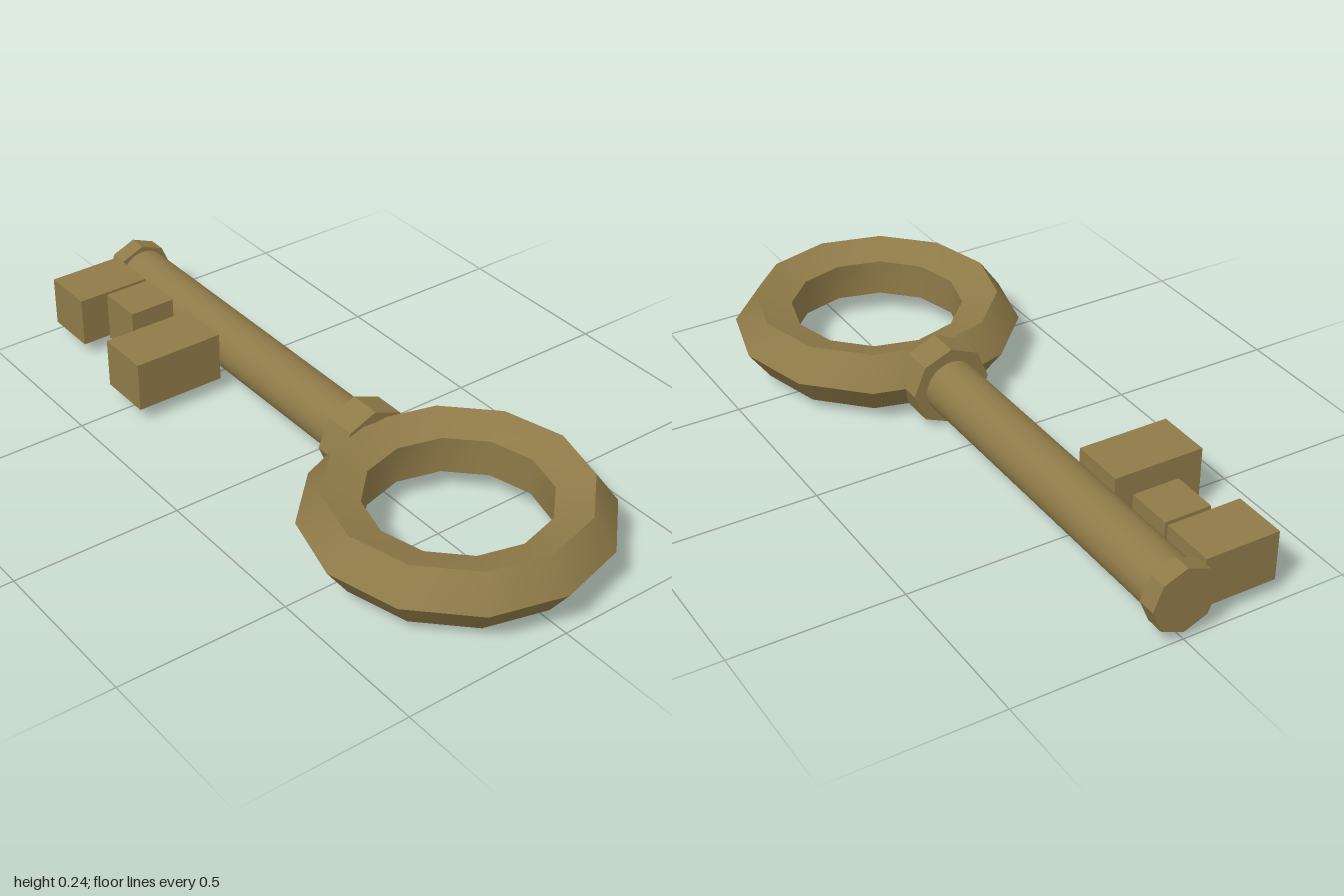
import * as THREE from 'three';
import { toCreasedNormals } from 'three/addons/utils/BufferGeometryUtils.js';

const AXIS_Y = 0.12; // height of the key's centre line

export function createModel() {
  const key = new THREE.Group();
  key.name = 'key';
  const brass = new THREE.MeshStandardMaterial({ color: 0x8f7a48 });
  brass.name = 'agedBrass';

  function add(name, geometry, x, y, z) {
    const mesh = new THREE.Mesh(toCreasedNormals(geometry, 0.66), brass);
    mesh.name = name;
    mesh.position.set(x, y, z);
    key.add(mesh);
  }

  // Round part lying along x, from x0 to x1
  function rod(name, radius, x0, x1, sides) {
    const geometry = new THREE.CylinderGeometry(radius, radius, x1 - x0, sides);
    geometry.rotateZ(Math.PI / 2);
    add(name, geometry, (x0 + x1) / 2, AXIS_Y, 0);
  }

  // Ring handle: twelve-sided, with a five-sided section pointing outward
  const ring = new THREE.TorusGeometry(0.331, 0.094, 5, 12);
  ring.rotateX(Math.PI / 2);
  add('bow', ring, 0.575, AXIS_Y, 0);

  // Shaft with octagonal collar and end cap
  rod('shaft', 0.08, -0.97, 0.2, 32);
  rod('collar', 0.12, 0.13, 0.225, 8);
  rod('endCap', 0.098, -1, -0.945, 8);

  // Teeth: [x start, x end, z end]
  const teeth = [[-0.97, -0.808, 0.302], [-0.796, -0.656, 0.22], [-0.576, -0.41, 0.355]];
  const zStart = 0.078;
  teeth.forEach(([x0, x1, z1], i) => {
    const box = new THREE.BoxGeometry(x1 - x0, 0.15, z1 - zStart);
    add('tooth' + (i + 1), box, (x0 + x1) / 2, AXIS_Y, (zStart + z1) / 2);
  });

  return key;
}
